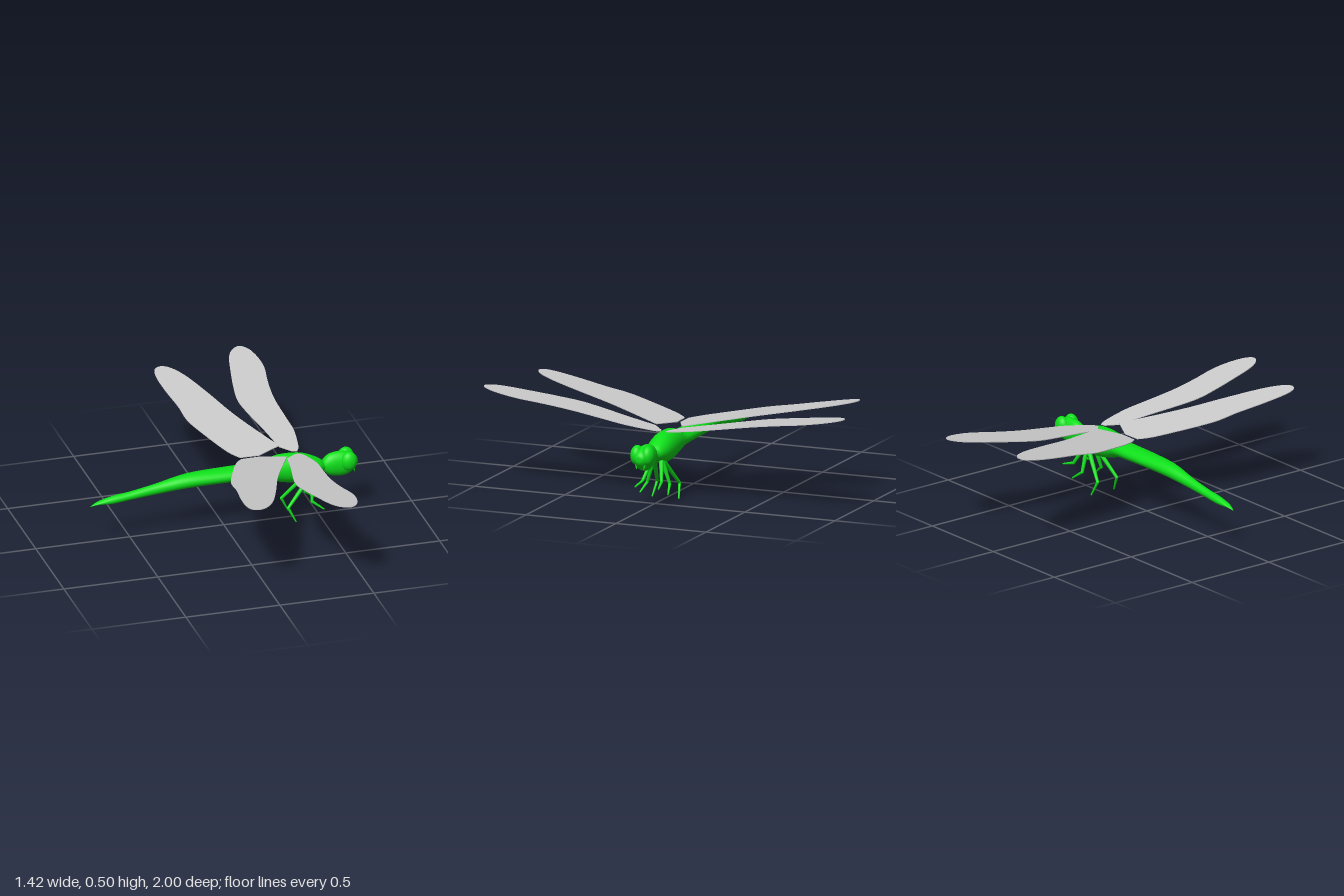
import * as THREE from 'three';

const green = new THREE.MeshStandardMaterial({ color: 0x0ee01a });
const grey = new THREE.MeshStandardMaterial({ color: 0xcccccc, side: THREE.DoubleSide });

function add(parent, name, geometry, material = green) {
  const mesh = new THREE.Mesh(geometry, material);
  mesh.name = name;
  parent.add(mesh);
  return mesh;
}

// Smooth skin of elliptical rings along x; each row is [x, bottom, top, halfWidth]
function loft(rows, steps = 64, sides = 28) {
  const spine = new THREE.CatmullRomCurve3(rows.map(([x, b, t]) => new THREE.Vector3(x, b, t)), false, 'centripetal');
  const widths = new THREE.CatmullRomCurve3(rows.map(([x, b, t, w]) => new THREE.Vector3(x, w, 0)), false, 'centripetal');
  const pos = [], index = [];
  for (let i = 0; i <= steps; i++) {
    const p = spine.getPoint(i / steps);
    const w = Math.max(widths.getPoint(i / steps).y, 0.001);
    for (let j = 0; j < sides; j++) {
      const a = (j / sides) * Math.PI * 2;
      pos.push(p.x, (p.y + p.z) / 2 + Math.cos(a) * (p.z - p.y) / 2, Math.sin(a) * w);
      if (i < steps) {
        const k = i * sides + j, n = i * sides + (j + 1) % sides;
        index.push(k, n, k + sides, n, n + sides, k + sides);
      }
    }
  }
  const g = new THREE.BufferGeometry();
  g.setAttribute('position', new THREE.Float32BufferAttribute(pos, 3));
  g.setIndex(index);
  g.computeVertexNormals();
  return g;
}

// Thin blade from an outline in [x, span], closed by straight root edges and raised towards the tip
function wing(outline, root, side, height, slope) {
  const curve = new THREE.SplineCurve(outline.map(([x, s]) => new THREE.Vector2(x, s)));
  const points = curve.getPoints(70).concat(root.map(([x, s]) => new THREE.Vector2(x, s)));
  const g = new THREE.ExtrudeGeometry(new THREE.Shape(points), { depth: 0.004, bevelEnabled: false });
  g.translate(0, 0, -0.002);
  g.rotateX(side * Math.PI / 2);
  const p = g.attributes.position;
  for (let i = 0; i < p.count; i++) p.setY(i, p.getY(i) + height + slope * Math.abs(p.getZ(i)));
  g.computeVertexNormals();
  return g;
}

// Tapered rod between two points
function rod(parent, name, a, b, ra, rb) {
  const d = b.clone().sub(a);
  const mesh = add(parent, name, new THREE.CylinderGeometry(rb, ra, d.length(), 10));
  mesh.position.copy(a).add(b).multiplyScalar(0.5);
  mesh.quaternion.setFromUnitVectors(new THREE.Vector3(0, 1, 0), d.normalize());
}

function ellipsoid(parent, name, [x, y, z], [rx, ry, rz]) {
  const mesh = add(parent, name, new THREE.SphereGeometry(1, 28, 20));
  mesh.position.set(x, y, z);
  mesh.scale.set(rx, ry, rz);
}

export function createModel() {
  const model = new THREE.Group();
  model.name = 'dragonfly';

  // Long abdomen swelling into the thorax, then the neck
  add(model, 'body', loft([
    [-0.71, 0.199, 0.201, 0.001], [-0.67, 0.205, 0.221, 0.014], [-0.6, 0.202, 0.241, 0.022],
    [-0.5, 0.212, 0.255, 0.023], [-0.37, 0.224, 0.279, 0.026], [-0.2, 0.24, 0.313, 0.045],
    [0, 0.246, 0.32, 0.058], [0.13, 0.243, 0.322, 0.06], [0.21, 0.237, 0.327, 0.058],
    [0.28, 0.213, 0.352, 0.061], [0.35, 0.199, 0.356, 0.065], [0.41, 0.196, 0.35, 0.065],
    [0.46, 0.207, 0.333, 0.06], [0.505, 0.228, 0.31, 0.046], [0.53, 0.243, 0.293, 0.028],
    [0.56, 0.248, 0.288, 0.024]], 90));

  // Head with bulging eyes and a short snout
  const head = new THREE.Group();
  head.name = 'head';
  model.add(head);
  add(head, 'skull', loft([
    [0.518, 0.265, 0.275, 0.004], [0.53, 0.238, 0.3, 0.025], [0.56, 0.211, 0.325, 0.037],
    [0.61, 0.2, 0.334, 0.042], [0.655, 0.206, 0.33, 0.044], [0.69, 0.232, 0.312, 0.036],
    [0.707, 0.255, 0.293, 0.02], [0.71, 0.273, 0.277, 0.002]], 40));

  const hindOutline = [[0.315, 0.07], [0.18, 0.37], [0.1, 0.6], [0.035, 0.77], [-0.02, 0.86], [-0.07, 0.89],
    [-0.11, 0.865], [-0.12, 0.79], [-0.108, 0.66], [-0.087, 0.52], [-0.077, 0.39], [-0.03, 0.25], [0.04, 0.08], [0.09, 0.01]];
  const foreOutline = [[0.315, 0.075], [0.285, 0.24], [0.245, 0.42], [0.231, 0.53], [0.245, 0.65], [0.27, 0.78],
    [0.3, 0.91], [0.335, 0.975], [0.38, 1], [0.42, 0.965], [0.445, 0.88], [0.45, 0.78], [0.43, 0.65],
    [0.419, 0.5], [0.428, 0.32], [0.434, 0.2], [0.415, 0.06], [0.395, 0.015]];

  // Leg joints as [x, y, z]: hip, knee, foot
  const legs = {
    front: [[0.475, 0.225, 0.025], [0.535, 0.125, 0.052], [0.605, 0.104, 0.065]],
    middle: [[0.46, 0.22, 0.025], [0.452, 0.1, 0.062], [0.512, 0.056, 0.078]],
    hind: [[0.445, 0.215, 0.025], [0.325, 0.08, 0.062], [0.363, 0.004, 0.074]],
  };

  for (const side of [1, -1]) {
    const label = side > 0 ? 'Left' : 'Right';
    const s = side > 0 ? 'near' : 'far';
    ellipsoid(head, 'eye' + label, [0.657, 0.286, side * 0.03], [0.043, 0.052, 0.034]);
    rod(head, 'jaw' + label, new THREE.Vector3(0.682, 0.25, side * 0.025),
      new THREE.Vector3(0.691, 0.22, side * 0.02), 0.007, 0.002);
    add(model, 'hindWing' + label, wing(hindOutline, [[0.19, 0.008]], side, 0.362, 0.156), grey);
    add(model, 'foreWing' + label, wing(foreOutline, [[0.37, 0.02]], side, 0.354, 0.15), grey);

    for (const [pair, joints] of Object.entries(legs)) {
      const leg = new THREE.Group();
      leg.name = pair + 'Leg' + label;
      model.add(leg);
      const [hip, knee, foot] = joints.map(([x, y, z]) => new THREE.Vector3(x, y, side * z));
      rod(leg, 'thigh', hip, knee, 0.013, 0.008);
      ellipsoid(leg, 'knee', knee.toArray(), [0.008, 0.008, 0.008]);
      rod(leg, 'shin', knee, foot, 0.008, 0.004);
    }
  }
  return model;
}
